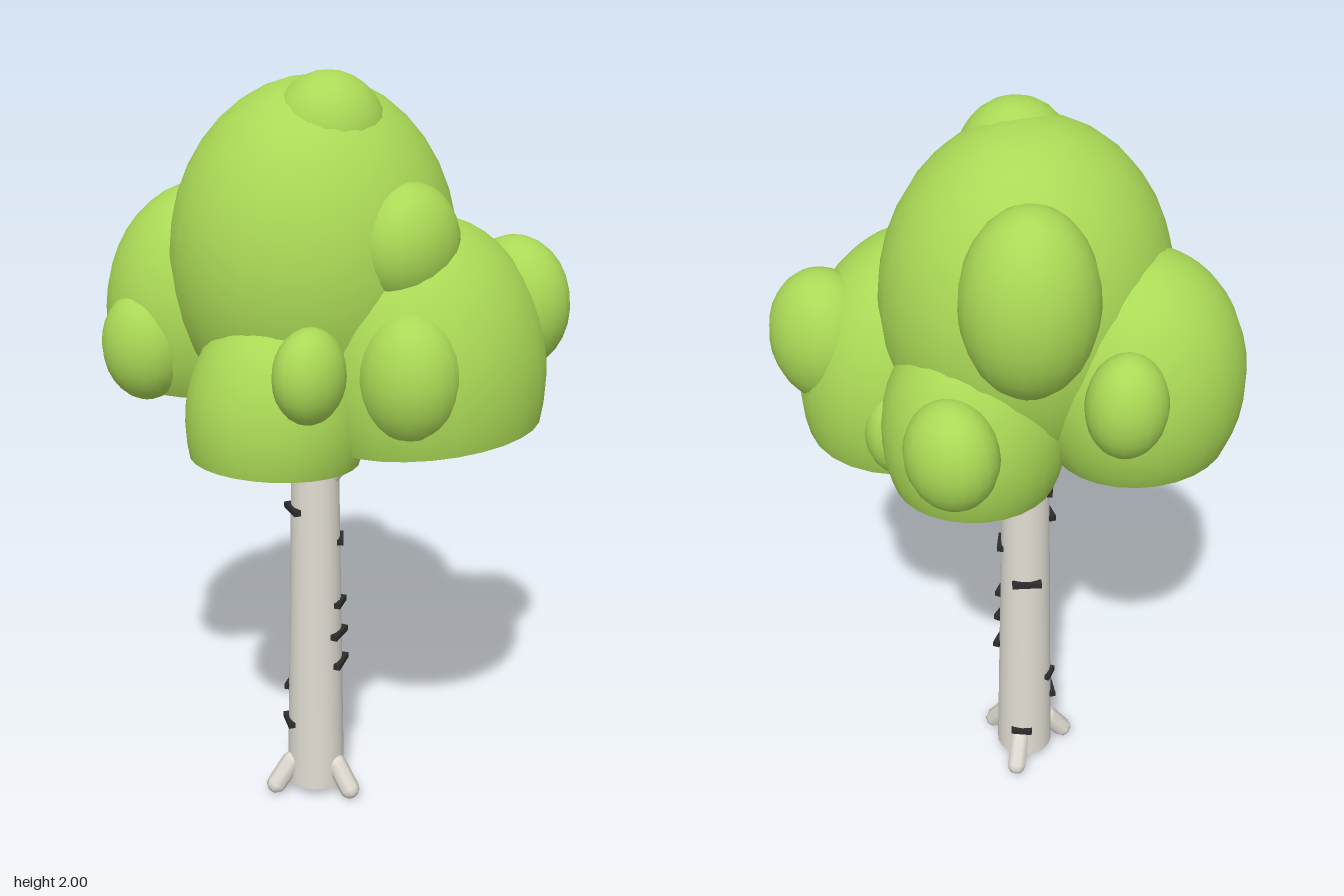
import * as THREE from 'three';

const leaf = new THREE.MeshStandardMaterial({ name: 'leafGreen', color: 0xaad956 });
const bark = new THREE.MeshStandardMaterial({ name: 'paleBark', color: 0xe0dcd2 });
const dark = new THREE.MeshStandardMaterial({ name: 'darkBark', color: 0x2c2c2c });

const TRUNK = { x: -0.015, z: 0.027, bottom: 0.03, top: 1.27, r0: 0.08, r1: 0.058 };

function add(parent, name, geometry, material) {
  const mesh = new THREE.Mesh(geometry, material);
  mesh.name = name;
  parent.add(mesh);
  return mesh;
}

// Ellipsoid leaf clump
function clump(parent, name, [x, y, z], [rx, ry, rz]) {
  const geometry = new THREE.SphereGeometry(1, 20, 14);
  add(parent, name, geometry.scale(rx, ry, rz).translate(x, y, z), leaf);
}

// Ellipsoid cut flat below its centre by drop, then tipped outwards
function dome(parent, name, [x, y, z], [rx, ry, rz], drop, tiltX = 0, tiltZ = 0) {
  const theta = Math.acos(-drop / ry), s = Math.sin(theta);
  const shell = new THREE.SphereGeometry(1, 28, 14, 0, Math.PI * 2, 0, theta).scale(rx, ry, rz);
  const cap = new THREE.CircleGeometry(1, 28).rotateX(Math.PI / 2);
  cap.scale(rx * s, 1, rz * s).translate(0, -drop, 0);
  const group = new THREE.Group();
  group.name = name;
  group.position.set(x, y, z);
  group.rotation.set(tiltX, 0, tiltZ);
  add(group, name + 'Shell', shell, leaf);
  add(group, name + 'Underside', cap, leaf);
  parent.add(group);
}

// Round-ended limb between two points
function limb(parent, name, from, to, radius) {
  const a = new THREE.Vector3(...from), b = new THREE.Vector3(...to);
  const dir = b.clone().sub(a);
  const mesh = add(parent, name, new THREE.CapsuleGeometry(radius, dir.length(), 3, 8), bark);
  mesh.position.copy(a).add(b).multiplyScalar(0.5);
  mesh.quaternion.setFromUnitVectors(new THREE.Vector3(0, 1, 0), dir.normalize());
}

export function createModel() {
  const tree = new THREE.Group();
  tree.name = 'tree';

  // Tapered trunk
  const { x: cx, z: cz, bottom, top, r0, r1 } = TRUNK;
  const trunk = add(tree, 'trunk', new THREE.CylinderGeometry(r1, r0, top - bottom, 20), bark);
  trunk.position.set(cx, (bottom + top) / 2, cz);

  // Three roots around the base
  for (const deg of [0, 120, 240]) {
    const a = THREE.MathUtils.degToRad(deg), c = Math.cos(a), s = Math.sin(a);
    limb(tree, 'root', [cx + 0.075 * c, 0.092, cz + 0.075 * s],
      [cx + 0.12 * c, 0.029, cz + 0.12 * s], 0.028);
  }

  // Branches reaching into the crown
  limb(tree, 'branch', [0.03, 0.96, 0.012], [0.18, 1.16, -0.03], 0.024);
  limb(tree, 'branch', [-0.045, 1.03, 0.05], [-0.16, 1.2, 0.13], 0.02);

  // Dark bark marks: height, angle from +x towards +z, width
  const marks = [
    [1.05, 12, 0.045], [0.955, 143, 0.05], [0.865, 120, 0.075], [0.77, -37, 0.065],
    [0.68, 225, 0.08], [0.59, -20, 0.06], [0.5, -13, 0.075], [0.408, -20, 0.08],
    [0.315, 160, 0.05], [0.22, 128, 0.07], [0.13, 235, 0.06],
  ];
  for (const [y, deg, width] of marks) {
    const a = THREE.MathUtils.degToRad(deg);
    const r = THREE.MathUtils.lerp(r0, r1, (y - bottom) / (top - bottom));
    const mark = add(tree, 'barkMark', new THREE.BoxGeometry(0.018, 0.016, width), dark);
    mark.position.set(cx + r * Math.cos(a), y, cz + r * Math.sin(a));
    mark.rotation.y = -a;
  }

  // Large flat-bottomed domes of the crown
  const crown = new THREE.Group();
  crown.name = 'crown';
  tree.add(crown);
  dome(crown, 'centreDome', [-0.018, 1.54, 0.025], [0.35, 0.44, 0.375], 0.32);
  dome(crown, 'leftDome', [0.27, 1.27, -0.07], [0.28, 0.39, 0.33], 0.14, 0, 0.08);
  dome(crown, 'rightDome', [-0.305, 1.385, 0.11], [0.25, 0.325, 0.27], 0.18, 0, -0.04);
  dome(crown, 'frontDome', [0.045, 1.19, 0.255], [0.222, 0.29, 0.225], 0.1, -0.08, 0);
  dome(crown, 'backDome', [-0.045, 1.28, -0.195], [0.225, 0.3, 0.235], 0.15, 0.04, 0);

  // Smaller clumps sitting on the domes
  const small = [
    [[0.06, 1.85, 0.07], [0.14, 0.15, 0.145]],
    [[-0.21, 1.67, -0.19], [0.16, 0.23, 0.165]],
    [[0.28, 1.61, 0.05], [0.115, 0.15, 0.15]],
    [[0.375, 1.415, -0.29], [0.148, 0.175, 0.13]],
    [[0.365, 1.325, 0.155], [0.125, 0.16, 0.12]],
    [[0.218, 1.35, 0.345], [0.08, 0.115, 0.097]],
    [[-0.32, 1.325, 0.33], [0.115, 0.14, 0.1]],
    [[-0.425, 1.45, -0.1], [0.095, 0.13, 0.1]],
    [[-0.14, 1.33, -0.38], [0.12, 0.14, 0.105]],
    [[0.11, 1.25, -0.31], [0.08, 0.11, 0.08]],
    [[0.13, 1.17, -0.14], [0.1, 0.1, 0.11]],
    [[0.05, 1.16, 0.02], [0.13, 0.1, 0.11]],
    [[-0.41, 1.26, 0.06], [0.08, 0.09, 0.09]],
  ];
  for (const [p, r] of small) clump(crown, 'leafClump', p, r);

  return tree;
}
